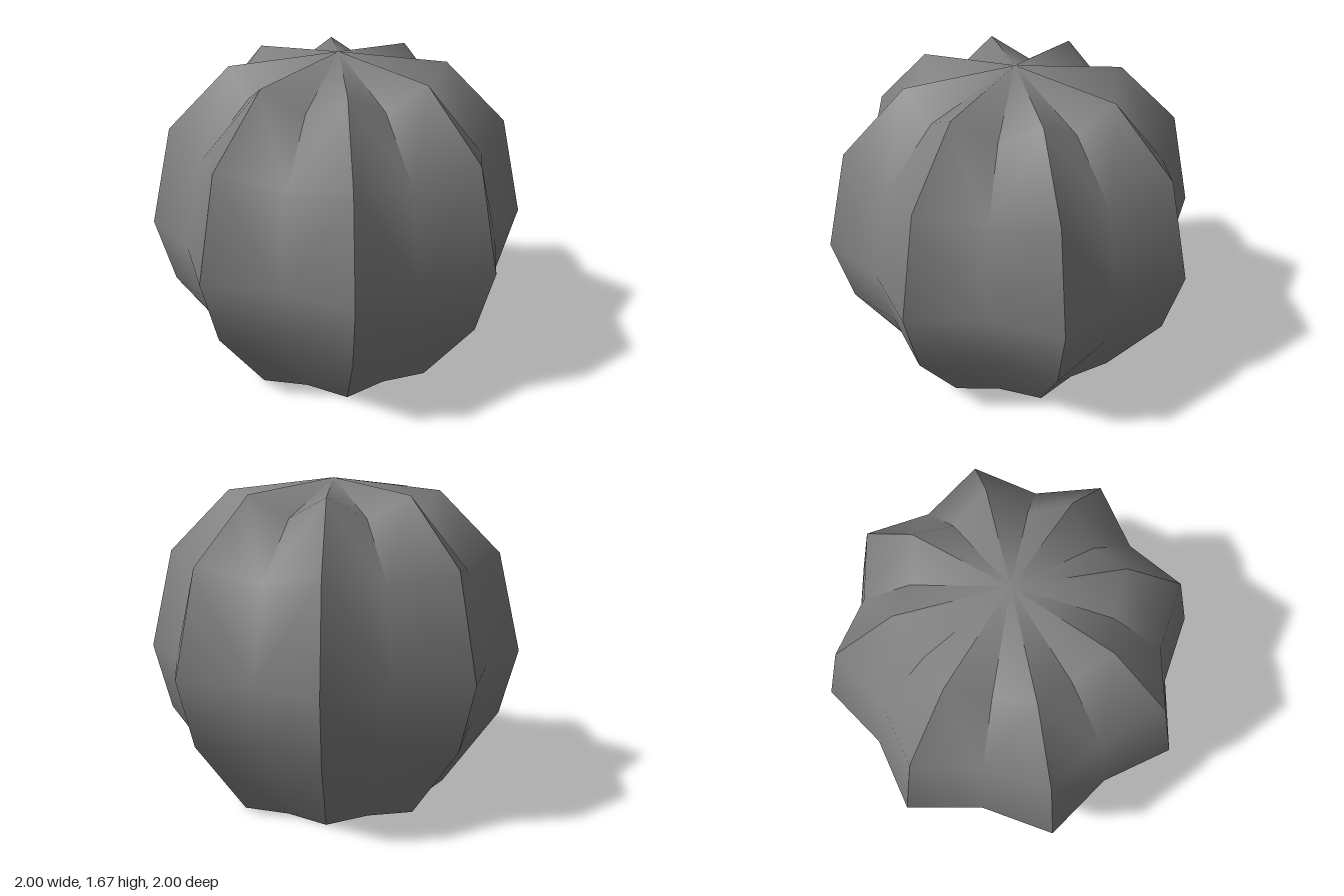
import * as THREE from 'three';

const RIBS = 8;
const STEP = (Math.PI * 2) / RIBS;
// [radius, height] from crown to base, along a ridge and along a groove
const RIDGE = [[0, 1.675], [0.555, 1.61], [0.877, 1.285], [1, 0.757], [0.905, 0.405], [0.61, 0]];
const GROOVE = [[0, 1.675], [0.489, 1.502], [0.758, 1.217], [0.857, 0.757], [0.78, 0.435], [0.53, 0]];

const pointAt = ([r, y], angle) => [r * Math.sin(angle), y, r * Math.cos(angle)];

function buildGeometry(positions, index) {
  const geometry = new THREE.BufferGeometry();
  geometry.setAttribute('position', new THREE.Float32BufferAttribute(positions, 3));
  geometry.setIndex(index);
  geometry.computeVertexNormals();
  return geometry;
}

// Half a rib, from its ridge to the groove on the given side (+1 or -1).
// Vertices alternate ridge, groove from crown to base.
function halfRibGeometry(side) {
  const grooveAngle = side * STEP / 2;
  const positions = [], index = [];
  const addFace = (a, b, c) => index.push(...(side > 0 ? [a, b, c] : [a, c, b]));

  RIDGE.forEach((ridge, i) => {
    positions.push(...pointAt(ridge, 0), ...pointAt(GROOVE[i], grooveAngle));
    if (i === 0) return;
    const a = i * 2 - 2;
    addFace(a, a + 2, a + 3);
    if (i > 1) addFace(a, a + 3, a + 1);
  });
  const geometry = buildGeometry(positions, index);

  // Smooth the crown and the lower groove; the ridge and upper groove stay sharp
  const normals = geometry.attributes.normal;
  const across = new THREE.Vector3(Math.cos(grooveAngle), 0, -Math.sin(grooveAngle));
  const normal = new THREE.Vector3();
  for (let i = 0; i < GROOVE.length; i++) {
    if (i === 0) {
      normals.setXYZ(0, 0, 1, 0);
      normals.setXYZ(1, 0, 1, 0);
    } else if (i > 1) {
      normal.fromBufferAttribute(normals, i * 2 + 1).projectOnPlane(across).normalize();
      normals.setXYZ(i * 2 + 1, normal.x, normal.y, normal.z);
    }
  }
  return geometry;
}

// Flat star-shaped underside
function baseGeometry() {
  const positions = [0, 0, 0], index = [];
  const count = RIBS * 2;
  for (let k = 0; k < count; k++) {
    const profile = k % 2 ? GROOVE : RIDGE;
    positions.push(...pointAt(profile[profile.length - 1], (k * STEP) / 2));
    index.push(0, 1 + ((k + 1) % count), 1 + k);
  }
  return buildGeometry(positions, index);
}

export function createModel() {
  const model = new THREE.Group();
  model.name = 'ribbedBall';
  const material = new THREE.MeshStandardMaterial({ color: 0x7f7f7f });

  // Ribs around the vertical axis, each made of two mirrored halves
  const halves = { leftHalf: halfRibGeometry(1), rightHalf: halfRibGeometry(-1) };
  for (let k = 0; k < RIBS; k++) {
    const rib = new THREE.Group();
    rib.name = `rib${k + 1}`;
    rib.rotation.y = k * STEP;
    for (const [name, geometry] of Object.entries(halves)) {
      const half = new THREE.Mesh(geometry, material);
      half.name = name;
      rib.add(half);
    }
    model.add(rib);
  }

  const base = new THREE.Mesh(baseGeometry(), material);
  base.name = 'flatBase';
  model.add(base);
  return model;
}
